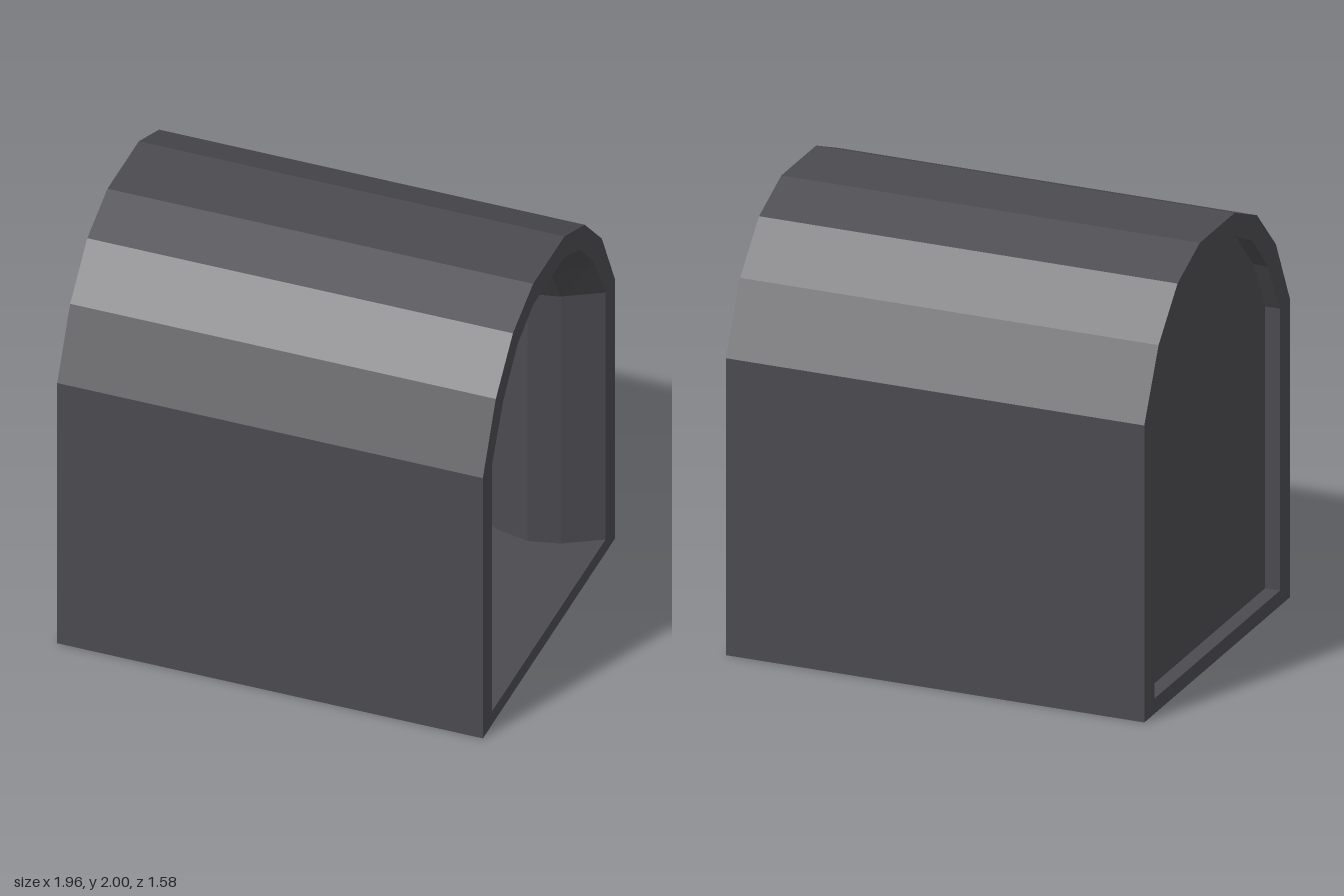
import * as THREE from 'three';

const HALF = 0.98;      // half the tunnel length
const PANEL_X = -0.91;  // recessed closing panel

// Right half of each arch as [z, y], from the ground up to the crown
const OUTER = [[0.79, 0], [0.79, 1.375], [0.635, 1.69], [0.43, 1.9], [0.188, 2]];
const INNER = [[0.68, 0.07], [0.68, 1.375], [0.547, 1.62], [0.375, 1.805], [0.187, 1.89]];
const NARROW = [[0.55, 0.07], [0.55, 1.375], [0.455, 1.53], [0.33, 1.68], [0.185, 1.76]];

// Mirror a half arch into a closed loop
const arch = (half) => [...half, ...[...half].reverse().map(([z, y]) => [-z, y])];

// Blend from the wide to the narrow inner arch
const blend = (t) => arch(INNER.map(([z, y], i) => [
  z + (NARROW[i][0] - z) * t,
  y + (NARROW[i][1] - y) * t,
]));

// Skin closed loops placed along x; inward turns the faces to the inside
function loft(sections, inward = false) {
  const pos = [];
  const index = [];
  const n = sections[0].loop.length;
  sections.forEach(({ x, loop }) => loop.forEach(([z, y]) => pos.push(x, y, z)));
  for (let s = 0; s < sections.length - 1; s++) {
    for (let i = 0; i < n; i++) {
      const a = s * n + i;
      const b = s * n + (i + 1) % n;
      const c = a + n;
      const d = b + n;
      if (inward) index.push(a, b, c, c, b, d);
      else index.push(a, c, b, c, d, b);
    }
  }
  const indexed = new THREE.BufferGeometry();
  indexed.setAttribute('position', new THREE.Float32BufferAttribute(pos, 3));
  indexed.setIndex(index);
  const g = indexed.toNonIndexed();
  g.computeVertexNormals();
  return g;
}

const toPoints = (loop) => loop.map(([z, y]) => new THREE.Vector2(z, y));

export function createModel() {
  const group = new THREE.Group();
  group.name = 'archedTunnel';
  const stone = new THREE.MeshStandardMaterial({ color: 0x4b4a4f, flatShading: true, side: THREE.DoubleSide });
  stone.name = 'dark grey';

  const add = (name, geometry) => {
    const mesh = new THREE.Mesh(geometry, stone);
    mesh.name = name;
    group.add(mesh);
    return mesh;
  };

  // Outer walls, roof and underside
  const outer = arch(OUTER);
  add('outerShell', loft([{ x: -HALF, loop: outer }, { x: HALF, loop: outer }]));

  // Inner lining, with a rounded rib that narrows the passage behind the mouth
  const lining = [[-HALF, 0], [0.37, 0], [0.52, 0.75], [0.67, 1], [0.81, 0.75], [HALF, 0]];
  add('innerLining', loft(lining.map(([x, t]) => ({ x, loop: blend(t) })), true));

  // Flat rims around both ends
  for (const side of [1, -1]) {
    const shape = new THREE.Shape(toPoints(outer));
    shape.holes.push(new THREE.Path(toPoints(arch(INNER))));
    const rim = add(side > 0 ? 'mouthRim' : 'backRim', new THREE.ShapeGeometry(shape));
    rim.rotation.y = side * Math.PI / 2;
    rim.position.x = side * HALF;
  }

  // Recessed panel closing the far end
  const panel = add('backPanel', new THREE.ShapeGeometry(new THREE.Shape(toPoints(arch(INNER)))));
  panel.rotation.y = -Math.PI / 2;
  panel.position.x = PANEL_X;

  return group;
}
